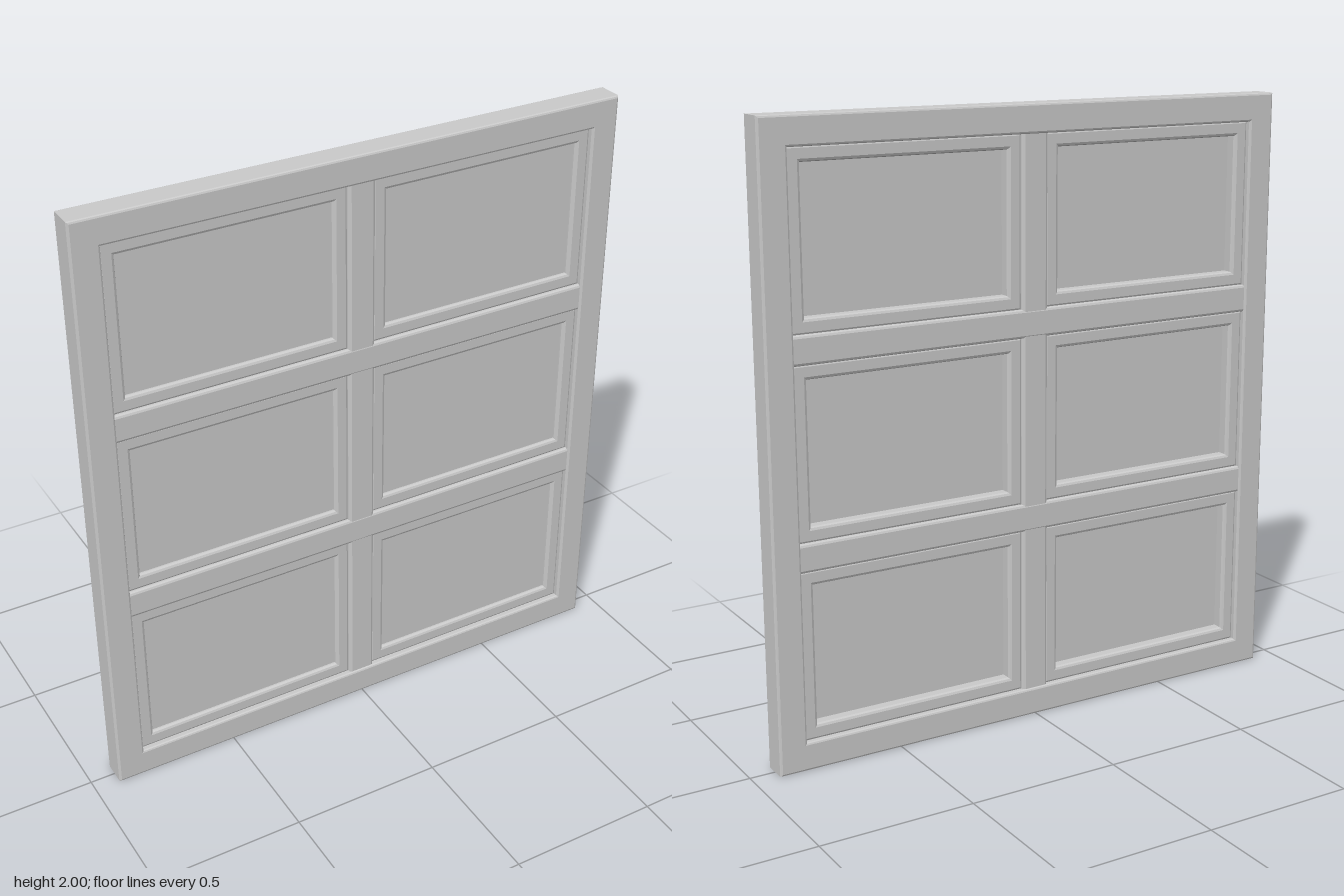
import * as THREE from 'three';

const material = new THREE.MeshStandardMaterial({ color: 0xcccccc });
const paneMaterial = new THREE.MeshStandardMaterial({ color: 0xcccccc, side: THREE.DoubleSide });

function rectPoints(w, h) {
  return [[-w, -h], [w, -h], [w, h], [-w, h]].map(([x, y]) => new THREE.Vector2(x / 2, y / 2));
}

// Bevelled rectangle, optionally with a rectangular opening; sizes include the bevel
function panel(name, w, h, depth, bevel, border = 0) {
  const shape = new THREE.Shape(rectPoints(w - 2 * bevel, h - 2 * bevel));
  if (border) {
    const shrink = 2 * (border - bevel);
    shape.holes.push(new THREE.Path(rectPoints(w - shrink, h - shrink).reverse()));
  }
  const geometry = new THREE.ExtrudeGeometry(shape, {
    depth: depth - 2 * bevel, bevelEnabled: true,
    bevelThickness: bevel, bevelSize: bevel, bevelSegments: 2,
  });
  geometry.translate(0, 0, bevel - depth / 2);
  const mesh = new THREE.Mesh(geometry, material);
  mesh.name = name;
  return mesh;
}

export function createModel() {
  const model = new THREE.Group();
  model.name = 'window';
  const width = 1.834, height = 2, bar = 0.092, midY = 1;
  const openW = width - 2 * bar, openH = height - 2 * bar;
  const cellW = (openW - bar) / 2, cellH = (openH - 2 * bar) / 3;

  // Outer frame
  const frame = panel('outerFrame', width, height, 0.092, 0.007, bar);
  frame.position.y = midY;
  model.add(frame);

  // Vertical and horizontal glazing bars, tucked into the frame
  const mullion = panel('mullion', bar, openH + 0.02, 0.078, 0.009);
  mullion.position.y = midY;
  model.add(mullion);
  for (const side of [-1, 1]) {
    const rail = panel('crossRail', openW + 0.02, bar, 0.08, 0.009);
    rail.position.y = midY + side * (cellH + bar) / 2;
    model.add(rail);
  }

  // Six sashes, each with a thin pane set close to the front
  for (const column of [-1, 1]) {
    for (const row of [-1, 0, 1]) {
      const cell = new THREE.Group();
      cell.name = 'glazedCell';
      cell.position.set(column * (cellW + bar) / 2, midY + row * (cellH + bar), 0);
      const sash = panel('sash', cellW + 0.01, cellH + 0.01, 0.054, 0.01, 0.051);
      const pane = new THREE.Mesh(new THREE.PlaneGeometry(cellW - 0.07, cellH - 0.07), paneMaterial);
      pane.name = 'pane';
      pane.position.z = 0.012;
      cell.add(sash, pane);
      model.add(cell);
    }
  }
  return model;
}
